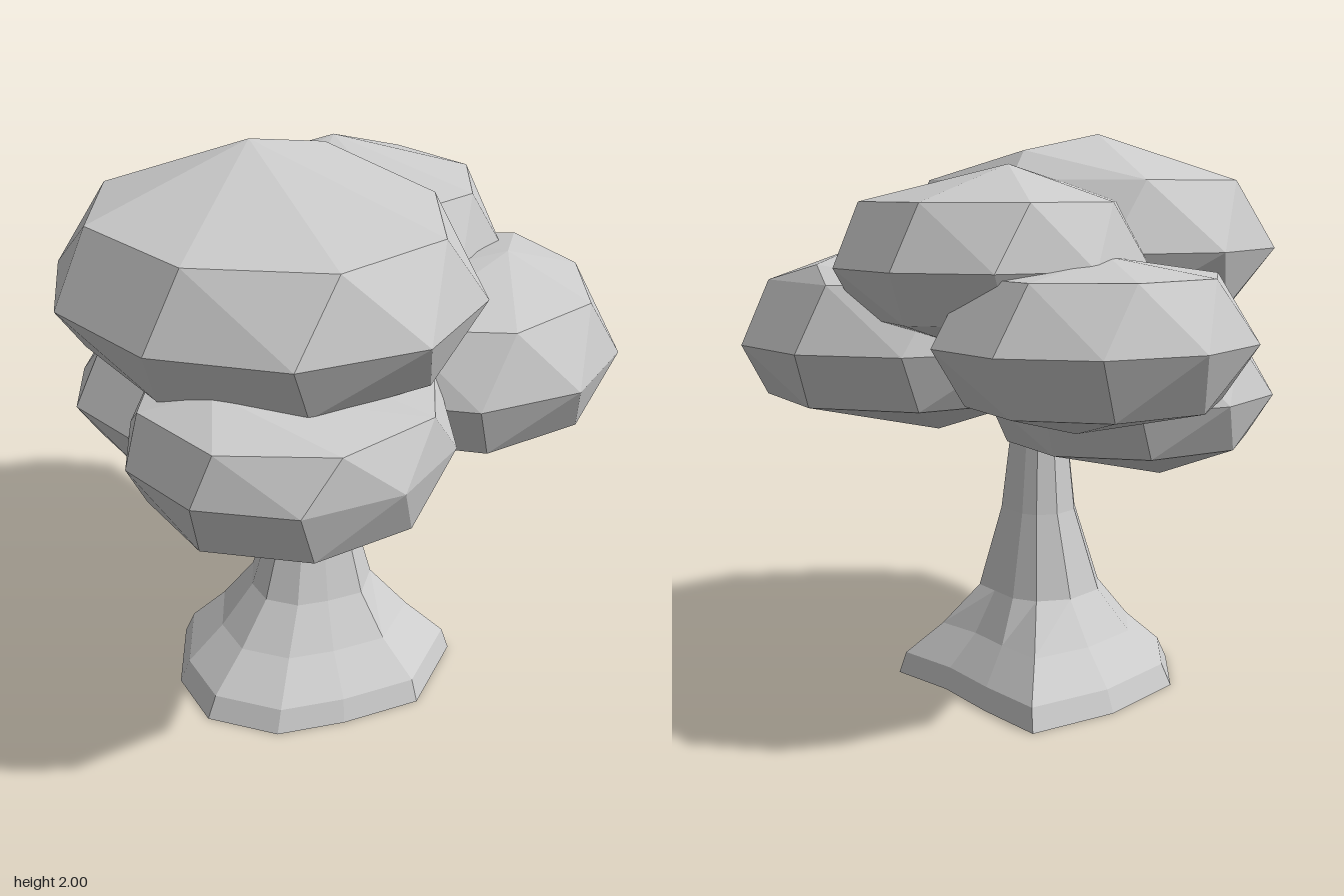
import * as THREE from 'three';
import { ConvexGeometry } from 'three/addons/geometries/ConvexGeometry.js';

const leafMaterial = new THREE.MeshStandardMaterial({ color: 0xcccccc, flatShading: true });
const barkMaterial = new THREE.MeshStandardMaterial({
  color: 0xcccccc, flatShading: true, side: THREE.DoubleSide,
});

// Level ring of n points around a centre
function ring(n, [cx, cy, cz], rx, rz, phase) {
  return Array.from({ length: n }, (_, i) => {
    const a = ((i + phase) / n) * Math.PI * 2;
    return new THREE.Vector3(cx + Math.sin(a) * rx, cy, cz + Math.cos(a) * rz);
  });
}

// Faceted foliage clump: a wide waist, a shoulder ring above, a hip ring below and peaks.
// shoulder and hip are [height offset, scale of the waist].
function makeClump({ name, center, rx, rz, shoulder, hip, peaks }) {
  const [x, y, z] = center;
  const points = [
    ...ring(10, center, rx * 1.04, rz, 0),
    ...ring(8, [x, y + shoulder[0], z], rx * shoulder[1], rz * shoulder[1], 0.5),
    ...ring(8, [x, y + hip[0], z], rx * hip[1], rz * hip[1], 0.3),
    ...peaks.map((p) => new THREE.Vector3(...p)),
  ];
  const mesh = new THREE.Mesh(new ConvexGeometry(points), leafMaterial);
  mesh.name = name;
  return mesh;
}

const clumps = [
  { name: 'crownClump', center: [-0.26, 1.6, 0.16], rx: 0.665, rz: 0.73,
    shoulder: [0.24, 0.85], hip: [-0.2, 0.86],
    peaks: [[-0.15, 2, -0.05], [0.16, 1.94, -0.02], [-0.25, 1.26, 0.15]] },
  { name: 'upperLeftClump', center: [0.34, 1.56, -0.07], rx: 0.52, rz: 0.53,
    shoulder: [0.21, 0.85], hip: [-0.17, 0.84],
    peaks: [[0.37, 1.89, -0.2], [0.34, 1.25, -0.07]] },
  { name: 'frontLeftClump', center: [0.38, 1.28, 0.37], rx: 0.575, rz: 0.59,
    shoulder: [0.22, 0.85], hip: [-0.19, 0.87],
    peaks: [[0.53, 1.6, 0.5], [0.78, 1.56, 0.32], [0.27, 0.94, 0.35]] },
  { name: 'frontRightClump', center: [-0.43, 1.22, 0.47], rx: 0.525, rz: 0.5,
    shoulder: [0.16, 0.93], hip: [-0.19, 0.88],
    peaks: [[-0.72, 1.45, 0.45], [-0.38, 1.45, 0.35], [-0.43, 0.92, 0.57]] },
  { name: 'lowerBackClump', center: [-0.18, 1.1, -0.19], rx: 0.52, rz: 0.49,
    shoulder: [0.2, 0.82], hip: [-0.17, 0.86],
    peaks: [[-0.18, 1.42, -0.15], [-0.23, 0.81, -0.3]] },
  { name: 'backLeftClump', center: [0.23, 1.33, -0.47], rx: 0.54, rz: 0.5,
    shoulder: [0.21, 0.8], hip: [-0.2, 0.8],
    peaks: [[0.23, 1.6, -0.53], [0.25, 1.02, -0.4]] },
];

// Open skin over stacked rings of [x, y, z] points
function loft(rings) {
  const n = rings[0].length;
  const index = [];
  for (let r = 0; r < rings.length - 1; r++) {
    for (let i = 0; i < n; i++) {
      const a = r * n + i, b = r * n + (i + 1) % n;
      index.push(a, a + n, b, b, a + n, b + n);
    }
  }
  const geo = new THREE.BufferGeometry();
  geo.setAttribute('position', new THREE.Float32BufferAttribute(rings.flat(2), 3));
  geo.setIndex(index);
  const flat = geo.toNonIndexed();
  flat.computeVertexNormals();
  return flat;
}

// Trunk flaring into roots, hollow underneath
function makeTrunk() {
  // Root outline around the trunk's own axis, clockwise from above
  const outline = [
    [-0.49, 0.06], [-0.43, -0.18], [-0.22, -0.42], [0.13, -0.49], [0.46, -0.45],
    [0.46, -0.18], [0.44, 0.08], [0.47, 0.34], [0.14, 0.49], [-0.14, 0.4], [-0.36, 0.29],
  ];
  // height, scale, axis x, axis z
  const levels = [
    [0, 1, -0.08, 0.12], [0.08, 0.94, -0.07, 0.12], [0.2, 0.68, -0.05, 0.11],
    [0.35, 0.46, -0.03, 0.11], [0.65, 0.28, -0.01, 0.1], [0.95, 0.21, -0.02, 0.11],
    [1.15, 0.2, -0.02, 0.12],
  ];
  const rings = levels.map(([y, s, cx, cz]) => outline.map(([x, z]) => {
    // the longest roots fade into a rounder stem
    const k = y > 0.3 ? Math.min(1, 0.52 / Math.hypot(x, z)) : 1;
    return [cx + x * s * k, y, cz + z * s * k];
  }));
  const mesh = new THREE.Mesh(loft(rings), barkMaterial);
  mesh.name = 'trunk';
  return mesh;
}

// Short limb growing out of the trunk towards the front, widening into the foliage
function makeBranch() {
  const from = new THREE.Vector3(-0.06, 0.62, 0.13);
  const to = new THREE.Vector3(-0.065, 1.08, 0.19);
  const dir = to.clone().sub(from);
  const mesh = new THREE.Mesh(new THREE.CylinderGeometry(0.08, 0.055, dir.length(), 5), barkMaterial);
  mesh.name = 'branch';
  mesh.position.copy(from).add(to).multiplyScalar(0.5);
  mesh.quaternion.setFromUnitVectors(new THREE.Vector3(0, 1, 0), dir.normalize());
  return mesh;
}

export function createModel() {
  const tree = new THREE.Group();
  tree.name = 'tree';
  const foliage = new THREE.Group();
  foliage.name = 'foliage';
  foliage.add(...clumps.map(makeClump));
  tree.add(makeTrunk(), makeBranch(), foliage);
  return tree;
}
